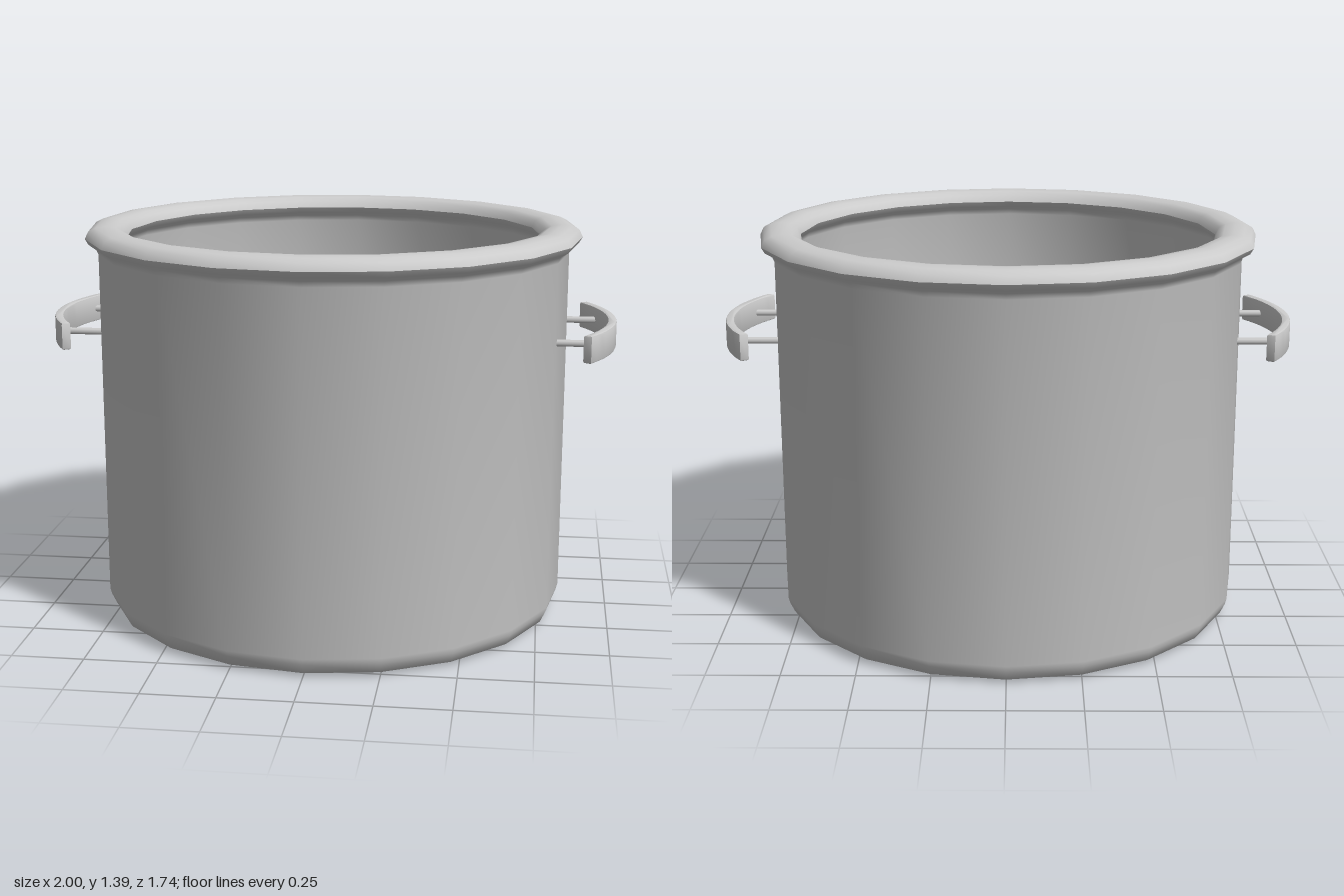
import * as THREE from 'three';
import { toCreasedNormals } from 'three/addons/utils/BufferGeometryUtils.js';

const material = new THREE.MeshStandardMaterial({ color: 0xcccccc });

function part(name, geometry, parent) {
  const mesh = new THREE.Mesh(geometry, material);
  mesh.name = name;
  parent.add(mesh);
  return mesh;
}

// Pot shell: up the outside, round the rolled rim, down the inside
function potGeometry() {
  const profile = [
    [0, 0], [0.77, 0], [0.805, 0.014], [0.822, 0.05],
    [0.827, 0.07], [0.827, 1.29], [0.835, 1.31], [0.86, 1.325], [0.872, 1.345],
    [0.86, 1.37], [0.835, 1.382], [0.8, 1.387], [0.765, 1.382], [0.742, 1.37],
    [0.73, 1.345], [0.742, 1.325], [0.767, 1.31], [0.775, 1.29],
    [0.775, 0.1], [0.76, 0.06], [0.73, 0.05], [0, 0.05],
  ].map(([r, y]) => new THREE.Vector2(r, y));
  return toCreasedNormals(new THREE.LatheGeometry(profile, 20), 0.85);
}

// Curved grip: an arc band extruded upward with a small bevel
function gripGeometry() {
  const bevel = 0.006, outer = 0.62 - bevel, inner = 0.59 + bevel, half = 0.55;
  const shape = new THREE.Shape();
  shape.absarc(0, 0, outer, -half, half, false);
  shape.absarc(0, 0, inner, half, -half, true);
  shape.closePath();
  const geometry = new THREE.ExtrudeGeometry(shape, {
    depth: 0.095 - 2 * bevel, curveSegments: 10,
    bevelEnabled: true, bevelSize: bevel, bevelThickness: bevel, bevelSegments: 2,
  });
  geometry.rotateX(-Math.PI / 2);
  geometry.translate(0.38, 0.965 + bevel, 0);
  return toCreasedNormals(geometry, 0.6);
}

// Grip with the two posts that join it to the wall
function makeHandle(name) {
  const handle = new THREE.Group();
  handle.name = name;
  part('grip', gripGeometry(), handle);
  for (const z of [-0.215, 0.215]) {
    const post = part('post', new THREE.CylinderGeometry(0.012, 0.012, 0.16, 8), handle);
    post.rotation.z = Math.PI / 2;
    post.position.set(0.865, 1.012, z);
  }
  return handle;
}

export function createModel() {
  const model = new THREE.Group();
  model.name = 'cookingPot';
  part('pot', potGeometry(), model);
  const left = makeHandle('leftHandle');
  const right = makeHandle('rightHandle');
  right.rotation.y = Math.PI;
  model.add(left, right);
  return model;
}
